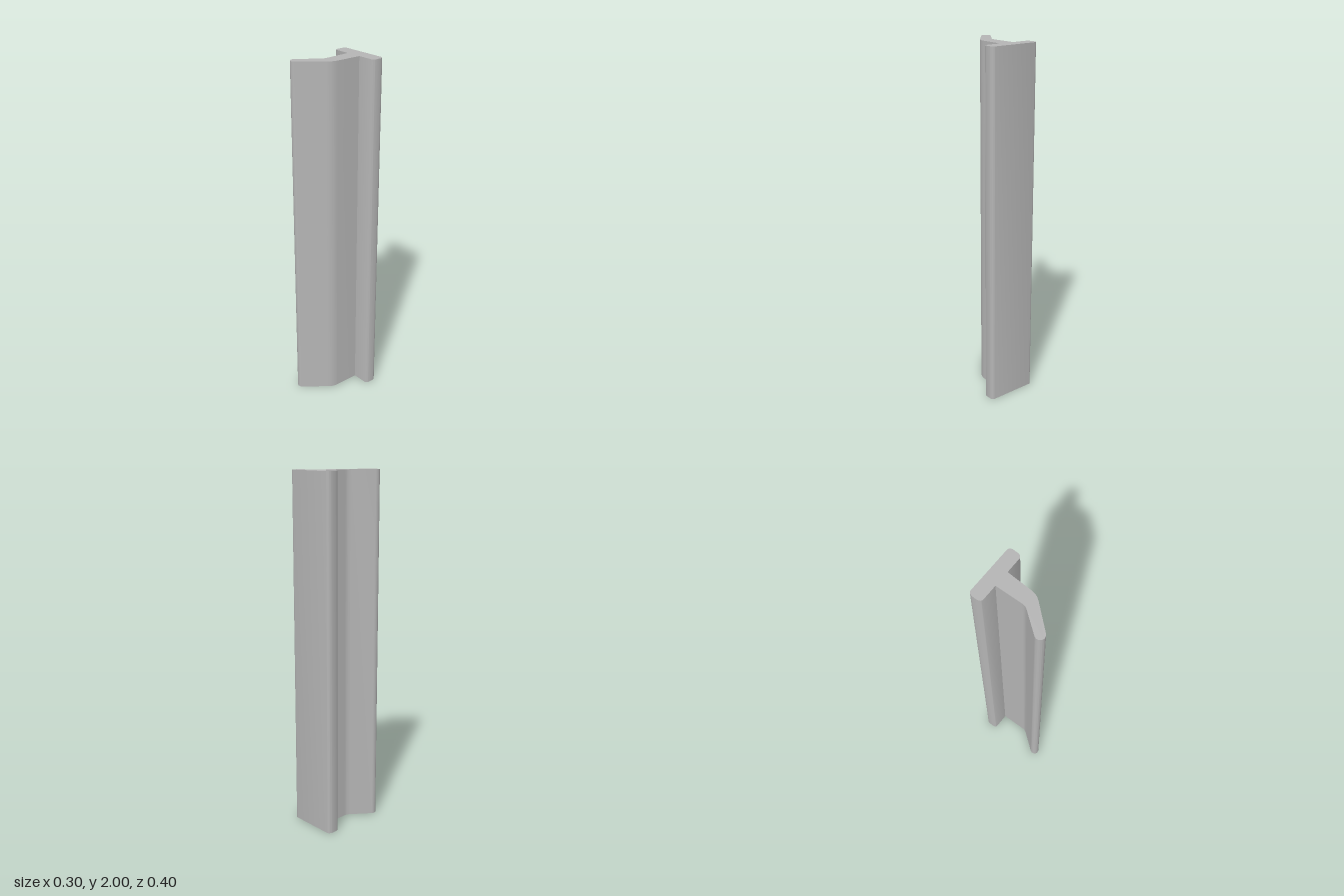
import * as THREE from 'three';
import { toCreasedNormals } from 'three/addons/utils/BufferGeometryUtils.js';

// Cross-section drawn in plan; shape y is the negative of model z
function profile() {
  const s = new THREE.Shape();
  const w = 0.148, back = 0.2, face = 0.127, rx = 0.017, rz = 0.021;
  // bent web: left side, rounded tip, right side
  s.moveTo(-0.044, face);
  s.lineTo(-0.039, -0.02);
  s.quadraticCurveTo(-0.038, -0.036, -0.048, -0.052);
  s.absarc(-0.107, -0.174, 0.026, 2.5, 5.58, false);
  s.lineTo(0.015, -0.071);
  s.quadraticCurveTo(0.036, -0.047, 0.038, -0.015);
  s.lineTo(0.043, face);
  // flange with rounded corners
  s.lineTo(w - rx, face);
  s.quadraticCurveTo(w - 0.003, face + 0.003, w, face + rz);
  s.lineTo(w, back - rz);
  s.quadraticCurveTo(w - 0.003, back - 0.003, w - rx, back);
  s.lineTo(-w + rx, back);
  s.quadraticCurveTo(-w + 0.003, back - 0.003, -w, back - rz);
  s.lineTo(-w, face + rz);
  s.quadraticCurveTo(-w + 0.003, face + 0.003, -w + rx, face);
  s.closePath();
  return s;
}

export function createModel() {
  const grey = new THREE.MeshStandardMaterial({ color: 0xb4b4b4 });
  grey.name = 'grey';

  // Constant section extruded upright
  const extruded = new THREE.ExtrudeGeometry(profile(), { depth: 2, bevelEnabled: false, curveSegments: 12 });
  extruded.rotateX(-Math.PI / 2);
  const bar = new THREE.Mesh(toCreasedNormals(extruded, 0.5), grey);
  bar.name = 'profileBar';

  const group = new THREE.Group();
  group.name = 'bentTeeProfile';
  group.add(bar);
  return group;
}
